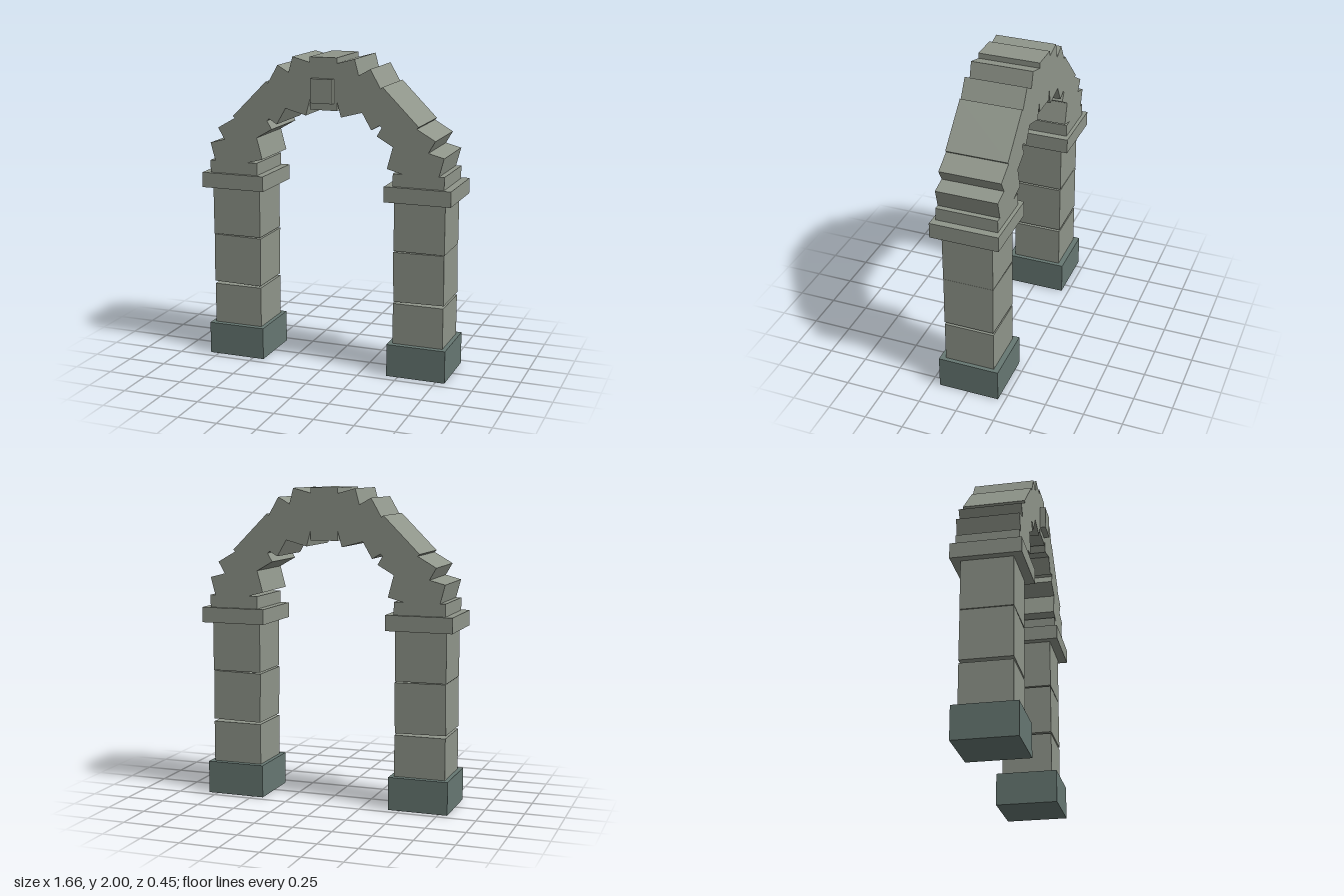
import * as THREE from 'three';

const stone = new THREE.MeshStandardMaterial({ color: 0x8f958a });
stone.name = 'greyStone';
const darkStone = new THREE.MeshStandardMaterial({ color: 0x667772 });
darkStone.name = 'darkBaseStone';

const HALF_SPAN = 0.617; // arch radius and pillar offset
const SPRING_Y = 1.223;  // height of the arch centre

function block(parent, name, size, pos, material = stone, tilt = 0) {
  const mesh = new THREE.Mesh(new THREE.BoxGeometry(...size), material);
  mesh.name = name;
  mesh.position.set(...pos);
  mesh.rotation.z = tilt;
  parent.add(mesh);
  return mesh;
}

// Pillar: dark plinth, three stacked blocks (the middle one slightly askew), capital
function pillar(side) {
  const g = new THREE.Group();
  g.name = side > 0 ? 'leftPillar' : 'rightPillar';
  g.position.x = side * HALF_SPAN;
  block(g, 'plinth', [0.382, 0.21, 0.396], [0, 0.105, 0], darkStone);
  [0.314, 0.649, 0.975].forEach((y, i) =>
    block(g, 'pillarBlock' + (i + 1), [0.327, 0.32, 0.323], [0, y, 0], stone, i === 1 ? side * 0.018 : 0));
  block(g, 'capital', [0.425, 0.098, 0.437], [0, 1.183, 0]);
  return g;
}

// Arch: thirteen stones on a half circle, each turned against the curve for a jagged outline
function arch() {
  const g = new THREE.Group();
  g.name = 'arch';
  const count = 13;
  for (let i = 0; i < count; i++) {
    const a = (i / (count - 1)) * Math.PI;
    block(g, i === 6 ? 'keystone' : 'archStone' + (i + 1), [0.326, 0.178, 0.391],
      [Math.cos(a) * HALF_SPAN, SPRING_Y + Math.sin(a) * HALF_SPAN, 0], stone, -a);
  }
  // Raised plaque on the front of the keystone
  block(g, 'keystonePlaque', [0.144, 0.151, 0.06], [0, 1.798, 0.2015]);
  return g;
}

export function createModel() {
  const model = new THREE.Group();
  model.name = 'stoneArchway';
  const body = new THREE.Group();
  body.name = 'archway';
  body.position.z = -0.0065; // balances the plaque so the whole is centred
  body.add(pillar(1), pillar(-1), arch());
  model.add(body);
  return model;
}
